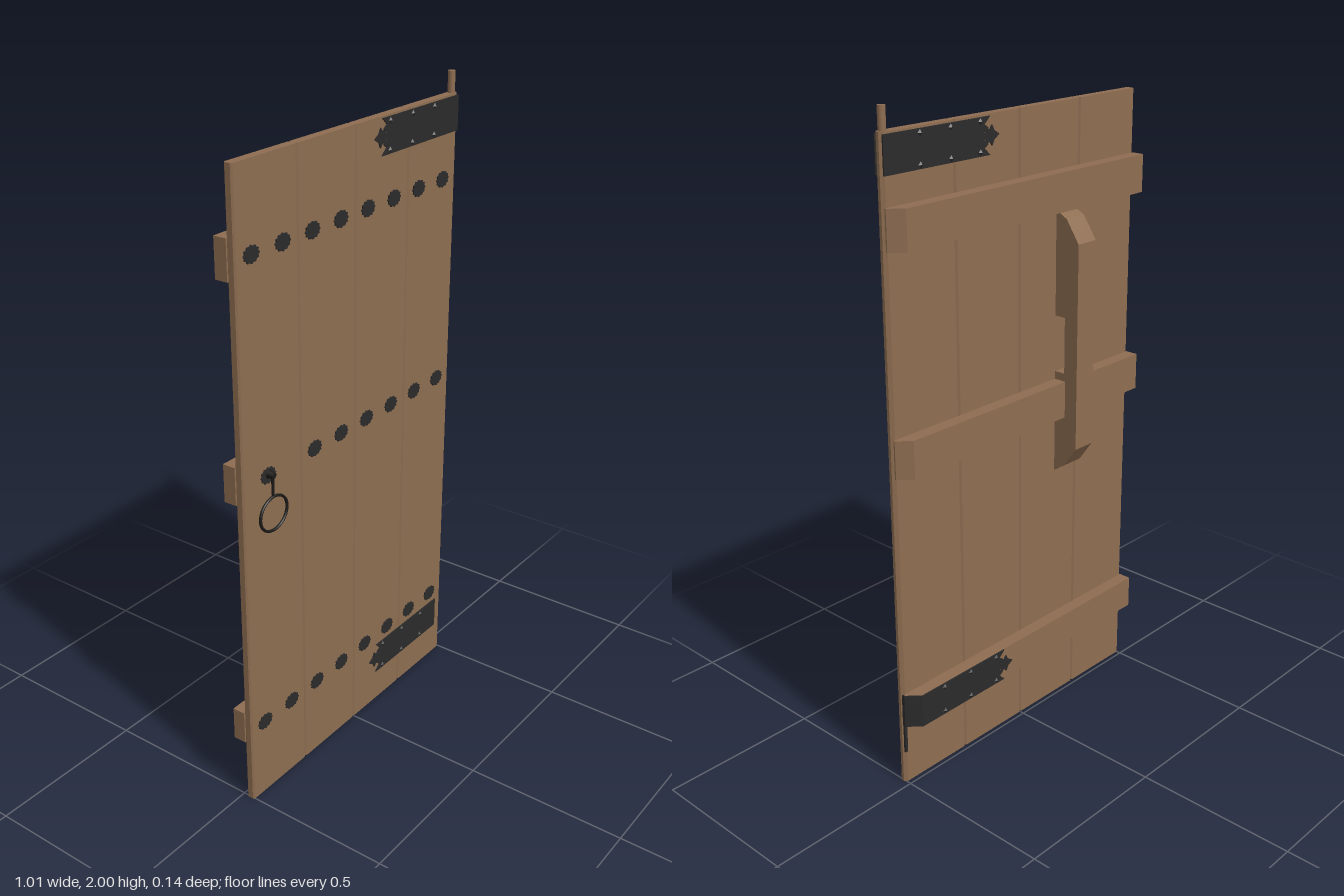
import * as THREE from 'three';

const wood = new THREE.MeshStandardMaterial({ color: 0x8f6e52 });
wood.name = 'brown wood';
const iron = new THREE.MeshStandardMaterial({ color: 0x2b2b2b });
iron.name = 'black iron';
const darkIron = new THREE.MeshStandardMaterial({ color: 0x1c1b19 });
darkIron.name = 'dark ring iron';

const FRONT = 0.042, BACK = 0.0145, BATTEN_BACK = -0.026, EDGE = 0.505;

const shapeOf = (pts) => new THREE.Shape(pts.map(([x, y]) => new THREE.Vector2(x, y)));
const extrude = (pts, depth) =>
  new THREE.ExtrudeGeometry(shapeOf(pts), { depth, bevelEnabled: false });

// Floor outline given as [x, z], raised from y0 to y1
const raise = (pts, y0, y1) =>
  extrude(pts.map(([x, z]) => [x, -z]), y1 - y0).rotateX(-Math.PI / 2).translate(0, y0, 0);

export function createModel() {
  const door = new THREE.Group();
  door.name = 'door';
  const add = (name, geometry, material, parent = door) => {
    const mesh = new THREE.Mesh(geometry, material);
    mesh.name = name;
    parent.add(mesh);
    return mesh;
  };

  // Four upright planks with chamfered long edges; the hinge edge is rounder
  const joints = [-EDGE, -0.254, -0.001, 0.251, EDGE];
  for (let i = 0; i < 4; i++) {
    const a = joints[i], b = joints[i + 1];
    const l = 0.005, r = i === 3 ? 0.009 : 0.005;
    add('plank', raise([
      [a + l, BACK], [b - r, BACK], [b, BACK + r], [b, FRONT - r],
      [b - r, FRONT], [a + l, FRONT], [a, FRONT - l], [a, BACK + l],
    ], 0, 1.936), wood);
  }

  // Hinge pin above the hinge edge
  add('hingePin', new THREE.CylinderGeometry(0.011, 0.011, 0.07, 16).translate(0.488, 1.965, 0.028), wood);

  // Cross battens on the back, cut away at the hinge end
  for (const [y0, y1] of [[0.2, 0.305], [0.995, 1.11], [1.63, 1.745]]) {
    add('batten', raise([
      [-EDGE, BACK], [-EDGE, BATTEN_BACK], [0.465, BATTEN_BACK], [0.502, 0.01], [0.502, BACK],
    ], y0, y1), wood);
  }

  // Pull handle with a finger opening, outline given as [-z, y]
  add('backHandle', extrude([
    [-BACK, 0.808], [0.025, 0.835], [0.071, 0.9], [0.071, 1.54], [0.025, 1.607], [-BACK, 1.629],
    [-BACK, 1.31], [0.022, 1.31], [0.022, 1.135], [-BACK, 1.135],
  ], 0.076).rotateY(Math.PI / 2).translate(-0.234, 0, 0), wood);

  // Iron straps with a notched end, an arrow finial and pointed nails
  const strap = (name, y, right, z, side, half = 0.052) => {
    const group = new THREE.Group();
    group.name = name;
    group.position.set(0, y, z);
    door.add(group);
    const upper = [[0.118, half], [0.14, half * 0.62], [0.125, half * 0.42], [0.143, 0.009],
      [0.132, 0.009], [0.136, 0.02], [0.118, 0.017], [0.11, 0.028], [0.102, 0.012]];
    const lower = upper.map(([x, v]) => [x, -v]).reverse();
    const plate = extrude([[right, half], ...upper, [0.082, 0], ...lower, [right, -half]], 0.004);
    add('strapPlate', plate.translate(0, 0, side > 0 ? 0 : -0.004), iron, group);
    for (const x of [0.155, 0.265, 0.375]) {
      for (const v of [-0.041, 0.041]) {
        const nail = new THREE.ConeGeometry(0.011, 0.007, 4).toNonIndexed();
        nail.computeVertexNormals();
        nail.rotateX(side * Math.PI / 2).translate(x, v, side * 0.0065);
        add('strapNail', nail, iron, group);
      }
    }
  };
  strap('topFrontStrap', 1.878, 0.502, FRONT, 1);
  strap('topBackStrap', 1.878, 0.502, BACK, -1);
  strap('bottomFrontStrap', 0.16, 0.467, FRONT, 1);
  strap('bottomBackStrap', 0.2525, 0.467, BATTEN_BACK, -1);

  // Bottom strap folded over the cut end of the batten, with a short tail below
  add('strapFold', raise([
    [0.465, BATTEN_BACK], [0.467, -0.03], [0.505, 0.008], [0.505, 0.018], [0.5, 0.018], [0.5, 0.01],
  ], 0.2, 0.305), iron);
  add('strapTail', new THREE.BoxGeometry(0.009, 0.095, 0.007).translate(0.501, 0.157, 0.0125), iron);

  // Oval petalled studs
  const petals = 12;
  const outline = [];
  for (let i = 0; i < petals * 2; i++) {
    const a = (i / petals) * Math.PI, r = i % 2 ? 0.84 : 1;
    outline.push([0.032 * r * Math.cos(a), 0.025 * r * Math.sin(a)]);
  }
  for (const y of [0.255, 1.055, 1.694]) {
    for (let i = 0; i < 8; i++) {
      if (y === 1.055 && i === 0) continue;
      let x = -0.445 + i * 0.125;
      if (y === 1.055 && i === 1) x = -0.402;
      add('stud', extrude(outline, 0.005).translate(x, y, FRONT - 0.0005), iron);
    }
  }

  // Ring pull hanging from an eye on the middle row
  const pull = new THREE.Group();
  pull.name = 'ringPull';
  pull.position.set(-0.402, 0, 0);
  door.add(pull);
  add('ringKnob', new THREE.CylinderGeometry(0.009, 0.013, 0.02, 10)
    .rotateX(Math.PI / 2).translate(0, 1.06, 0.056), darkIron, pull);
  add('ringHanger', new THREE.CylinderGeometry(0.005, 0.004, 0.07, 8)
    .translate(0, 1.028, 0.06), darkIron, pull);
  add('ring', new THREE.TorusGeometry(0.0575, 0.0045, 8, 36)
    .scale(1, 0.9, 1).translate(0, 0.943, 0.061), darkIron, pull);

  return door;
}
